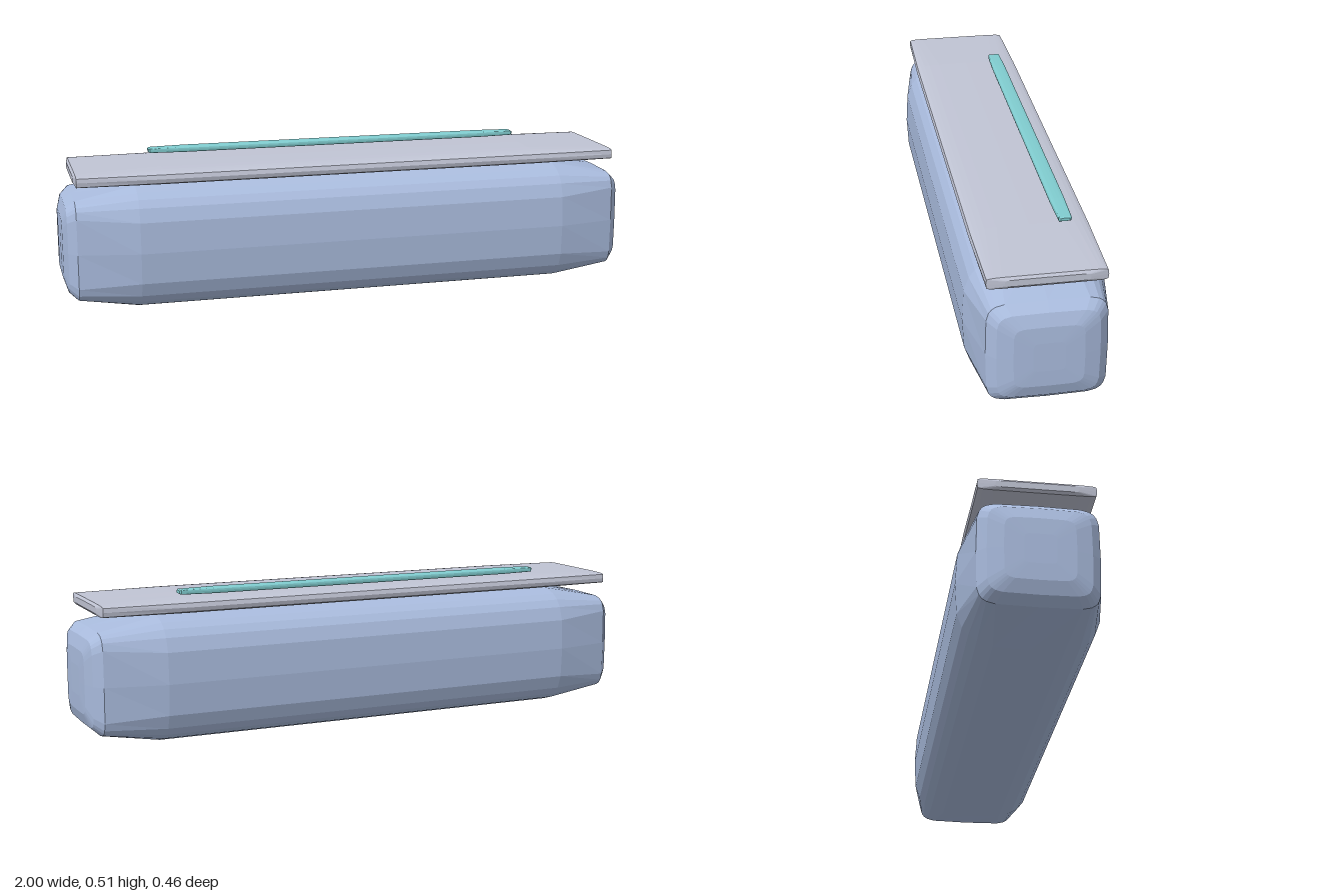
import * as THREE from 'three';

const bodyBlue = new THREE.MeshStandardMaterial({ color: 0xa9bbdd });
bodyBlue.name = 'bodyBlue';
const plateGrey = new THREE.MeshStandardMaterial({ color: 0xc0c4d4 });
plateGrey.name = 'plateGrey';
const stripTeal = new THREE.MeshStandardMaterial({ color: 0x80cccf });
stripTeal.name = 'stripTeal';

// Angles of the facet corners around one cross-section, in degrees
const ANGLES = [0, 90, 180, 270].flatMap((q) => [0, 17, 33, 45, 57, 73].map((a) => q + a));

const soft = (v, n) => Math.sign(v) * Math.pow(Math.abs(v), 2 / n);

// Faceted rounded bar along x; each half ring is [x, halfHeight, halfDepth, squareness],
// listed from the middle outwards and mirrored to the other end
function roundedBar(halfRings) {
  const rings = [...halfRings].reverse().map(([x, ...r]) => [-x, ...r]).concat(halfRings);
  const count = ANGLES.length;
  const positions = [];
  const index = [];
  for (const [x, h, d, n] of rings) {
    for (const deg of ANGLES) {
      const t = THREE.MathUtils.degToRad(deg);
      positions.push(x, h * soft(Math.sin(t), n), d * soft(Math.cos(t), n));
    }
  }
  for (let i = 0; i < rings.length - 1; i++) {
    for (let j = 0; j < count; j++) {
      const k = (j + 1) % count;
      const a = i * count + j, b = i * count + k;
      const c = a + count, e = b + count;
      index.push(a, c, b, b, c, e);
    }
  }
  // End caps
  const last = (rings.length - 1) * count;
  const start = rings.length * count;
  positions.push(rings[0][0], 0, 0, rings[rings.length - 1][0], 0, 0);
  for (let j = 0; j < count; j++) {
    const k = (j + 1) % count;
    index.push(start, j, k, start + 1, last + k, last + j);
  }
  const indexed = new THREE.BufferGeometry();
  indexed.setAttribute('position', new THREE.Float32BufferAttribute(positions, 3));
  indexed.setIndex(index);
  const geometry = indexed.toNonIndexed();
  geometry.computeVertexNormals();
  return geometry;
}

export function createModel() {
  const group = new THREE.Group();
  const add = (name, rings, material, y, z = 0) => {
    const mesh = new THREE.Mesh(roundedBar(rings), material);
    mesh.name = name;
    mesh.position.set(0, y, z);
    group.add(mesh);
  };

  // Long rounded block with tapered ends
  add('body', [
    [0.75, 0.215, 0.229, 3.4],
    [0.955, 0.173, 0.189, 6.6],
    [0.984, 0.147, 0.16, 7],
    [0.998, 0.105, 0.11, 7],
    [1, 0.05, 0.05, 7],
  ], bodyBlue, 0.215);

  // Thin slab floating just above the block
  add('topPlate', [
    [0.66, 0.0265, 0.193, 4],
    [0.95, 0.0195, 0.186, 8],
    [0.957, 0.011, 0.13, 8],
  ], plateGrey, 0.4575);

  // Narrow bar towards the back of the slab
  add('accentStrip', [
    [0.55, 0.011, 0.0245, 3.4],
    [0.67, 0.008, 0.021, 7],
    [0.675, 0.005, 0.014, 7],
  ], stripTeal, 0.499, -0.111);

  return group;
}
